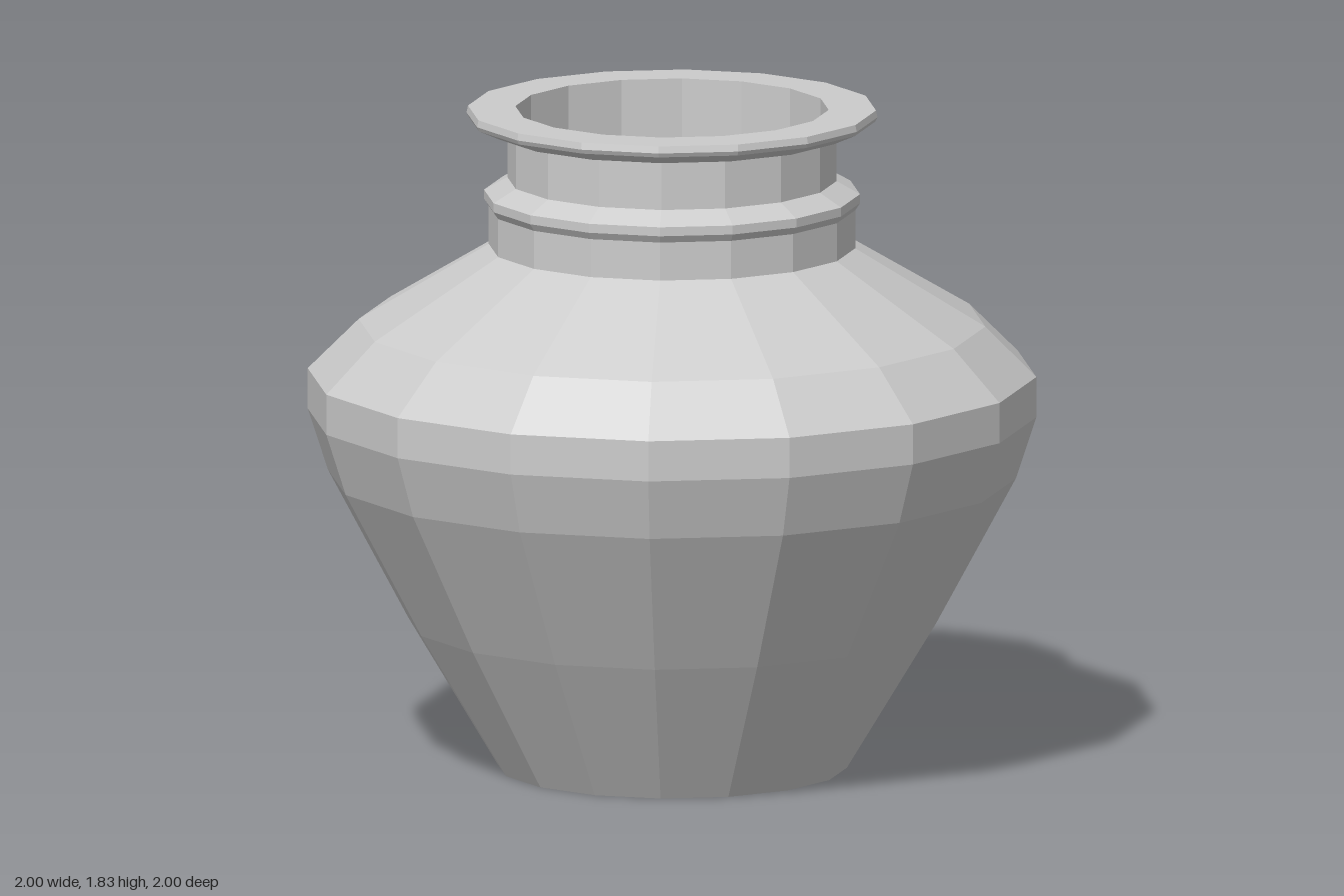
import * as THREE from 'three';

const SIDES = 16;

export function createModel() {
  const group = new THREE.Group();
  group.name = 'pot';
  const material = new THREE.MeshStandardMaterial({ color: 0xcccccc, flatShading: true });

  // Turns a [radius, height] profile around the y axis
  const turn = (name, profile) => {
    const points = profile.map(([r, y]) => new THREE.Vector2(r, y));
    const mesh = new THREE.Mesh(new THREE.LatheGeometry(points, SIDES), material);
    mesh.name = name;
    group.add(mesh);
  };

  // Recessed underside and narrow foot ring
  turn('base', [[0, 0.02], [0.44, 0.02], [0.445, 0], [0.48, 0]]);

  // Tapering belly and sloping shoulder
  turn('body', [
    [0.48, 0], [0.725, 0.406], [0.944, 0.813], [1, 0.984],
    [1, 1.096], [0.86, 1.235], [0.503, 1.449],
  ]);

  // Neck with a raised collar
  turn('neck', [
    [0.503, 1.449], [0.503, 1.555], [0.516, 1.575], [0.516, 1.6],
    [0.452, 1.636], [0.452, 1.775],
  ]);

  // Flared lip with a flat top
  turn('lip', [
    [0.452, 1.775], [0.495, 1.775], [0.558, 1.803], [0.564, 1.815],
    [0.56, 1.834], [0.43, 1.834],
  ]);

  // Hollow inside, following the outer wall down to the floor
  turn('interior', [
    [0.43, 1.834], [0.43, 1.43], [0.83, 1.19], [0.95, 1.07], [0.95, 0.99],
    [0.9, 0.83], [0.68, 0.42], [0.46, 0.05], [0, 0.05],
  ]);

  return group;
}
